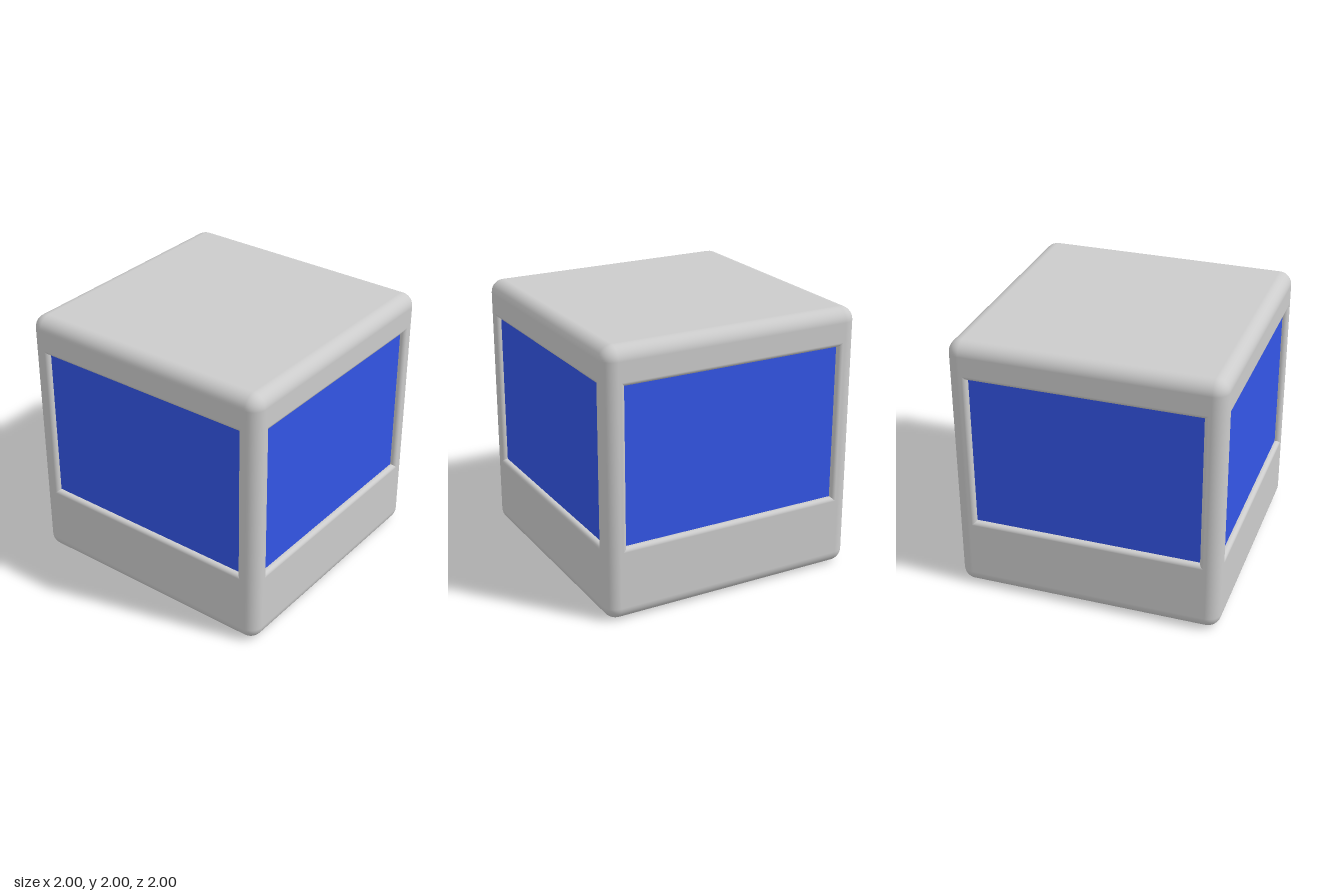
import * as THREE from 'three';
import { RoundedBoxGeometry } from 'three/addons/geometries/RoundedBoxGeometry.js';

const HALF_W = 0.85, Y0 = 0.555, Y1 = 1.725; // window panel
const CORNER = 0.1, LIP = 0.03, DEPTH = 0.04;

// Rounded cube with the flat parts of its four sides left open
function shellGeometry() {
  const box = new RoundedBoxGeometry(2, 2, 2, 6, CORNER);
  const pos = box.attributes.position, nor = box.attributes.normal;
  const p = [], n = [];
  const onSide = (i, axis, sign) =>
    [0, 1, 2].every(k => sign * pos.getComponent(i + k, axis) > 0.99999);
  for (let i = 0; i < pos.count; i += 3) {
    if ([0, 2].some(axis => onSide(i, axis, 1) || onSide(i, axis, -1))) continue;
    for (let k = i; k < i + 3; k++) {
      p.push(pos.getX(k), pos.getY(k) + 1, pos.getZ(k));
      n.push(nor.getX(k), nor.getY(k), nor.getZ(k));
    }
  }
  return makeGeometry(p, n);
}

function makeGeometry(p, n) {
  const g = new THREE.BufferGeometry();
  g.setAttribute('position', new THREE.Float32BufferAttribute(p, 3));
  g.setAttribute('normal', new THREE.Float32BufferAttribute(n, 3));
  return g;
}

// Flat side with a mitred, rounded lip running into the window recess
function frameGeometry() {
  const ring = (w, y0, y1, z, a) => ({ c: [[-w, y0], [w, y0], [w, y1], [-w, y1]], z, a });
  const flat = 1 - CORNER;
  const rings = [ring(flat, CORNER, 2 - CORNER, 1, 0)];
  const steps = 8;
  for (let i = 0; i <= steps; i++) {
    const a = (i / steps) * Math.PI / 2, t = LIP * (1 - Math.sin(a));
    rings.push(ring(HALF_W + t, Y0 - t, Y1 + t, 1 - LIP * (1 - Math.cos(a)), a));
  }
  rings.push(ring(HALF_W, Y0, Y1, 1 - DEPTH, Math.PI / 2));

  const inward = [[0, 1], [-1, 0], [0, -1], [1, 0]];
  const p = [], n = [];
  for (let i = 0; i < rings.length - 1; i++) {
    const outer = rings[i], inner = rings[i + 1];
    inward.forEach(([dx, dy], e) => {
      const f = (e + 1) % 4;
      for (const [r, k] of [[outer, e], [outer, f], [inner, f], [outer, e], [inner, f], [inner, e]]) {
        p.push(...r.c[k], r.z);
        n.push(dx * Math.sin(r.a), dy * Math.sin(r.a), Math.cos(r.a));
      }
    });
  }
  return makeGeometry(p, n);
}

export function createModel() {
  const model = new THREE.Group();
  const grey = new THREE.MeshStandardMaterial({ color: 0xcccccc });
  const blue = new THREE.MeshStandardMaterial({ color: 0x3355e6 });

  const shell = new THREE.Mesh(shellGeometry(), grey);
  shell.name = 'roundedShell';
  model.add(shell);

  // Same window on each of the four sides
  const frameGeo = frameGeometry();
  const panelGeo = new THREE.PlaneGeometry(2 * HALF_W, Y1 - Y0);
  ['front', 'left', 'back', 'right'].forEach((name, i) => {
    const side = new THREE.Group();
    side.name = name + 'Side';
    const frame = new THREE.Mesh(frameGeo, grey);
    frame.name = name + 'Frame';
    const panel = new THREE.Mesh(panelGeo, blue);
    panel.name = name + 'Panel';
    panel.position.set(0, (Y0 + Y1) / 2, 1 - DEPTH);
    side.add(frame, panel);
    side.rotation.y = i * Math.PI / 2;
    model.add(side);
  });
  return model;
}
